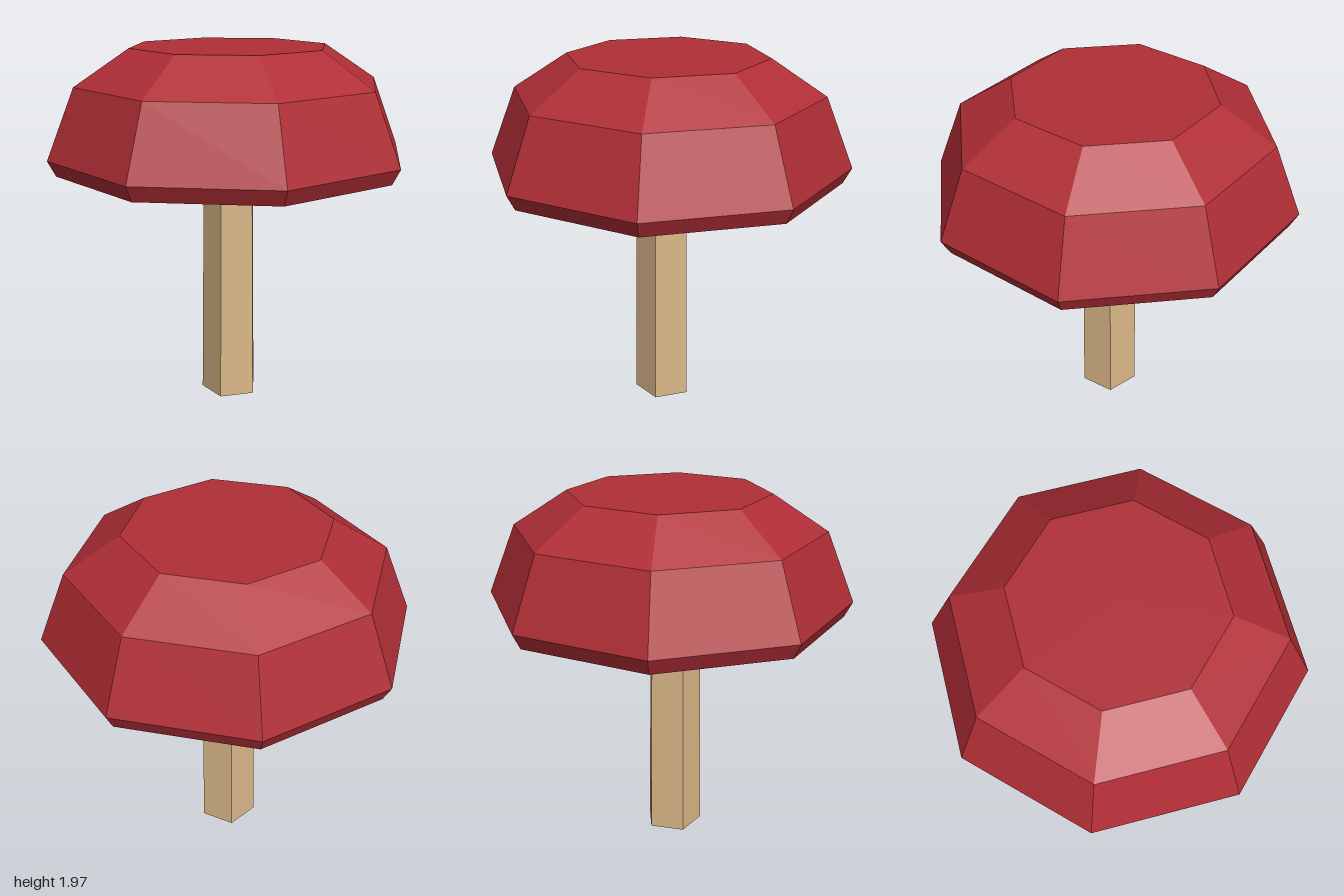
import * as THREE from 'three';

const mat = (color) => new THREE.MeshStandardMaterial({ color, flatShading: true });

export function createModel() {
  const model = new THREE.Group();
  model.name = 'mushroom';

  // Hollow eight-sided cap: ceiling, inner walls, flat rim, then outside up to the top
  const profile = [
    [0, 1.75], [0.51, 1.75], [0.64, 1.66], [0.764, 1.3],
    [0.955, 1.3], [1, 1.385], [0.848, 1.77], [0.55, 1.965], [0, 1.965],
  ].map(([r, y]) => new THREE.Vector2(r, y));
  const cap = new THREE.Mesh(new THREE.LatheGeometry(profile, 8), mat(0xb02e36));
  cap.name = 'cap';
  model.add(cap);

  // Tapered five-sided stem, flat face to the front, reaching the cap's ceiling
  const height = 1.755;
  const stemGeometry = new THREE.CylinderGeometry(0.144, 0.163, height, 5, 1, false, Math.PI);
  const stem = new THREE.Mesh(stemGeometry, mat(0xdab788));
  stem.name = 'stem';
  stem.position.set(0, height / 2, 0.028);
  model.add(stem);

  return model;
}
